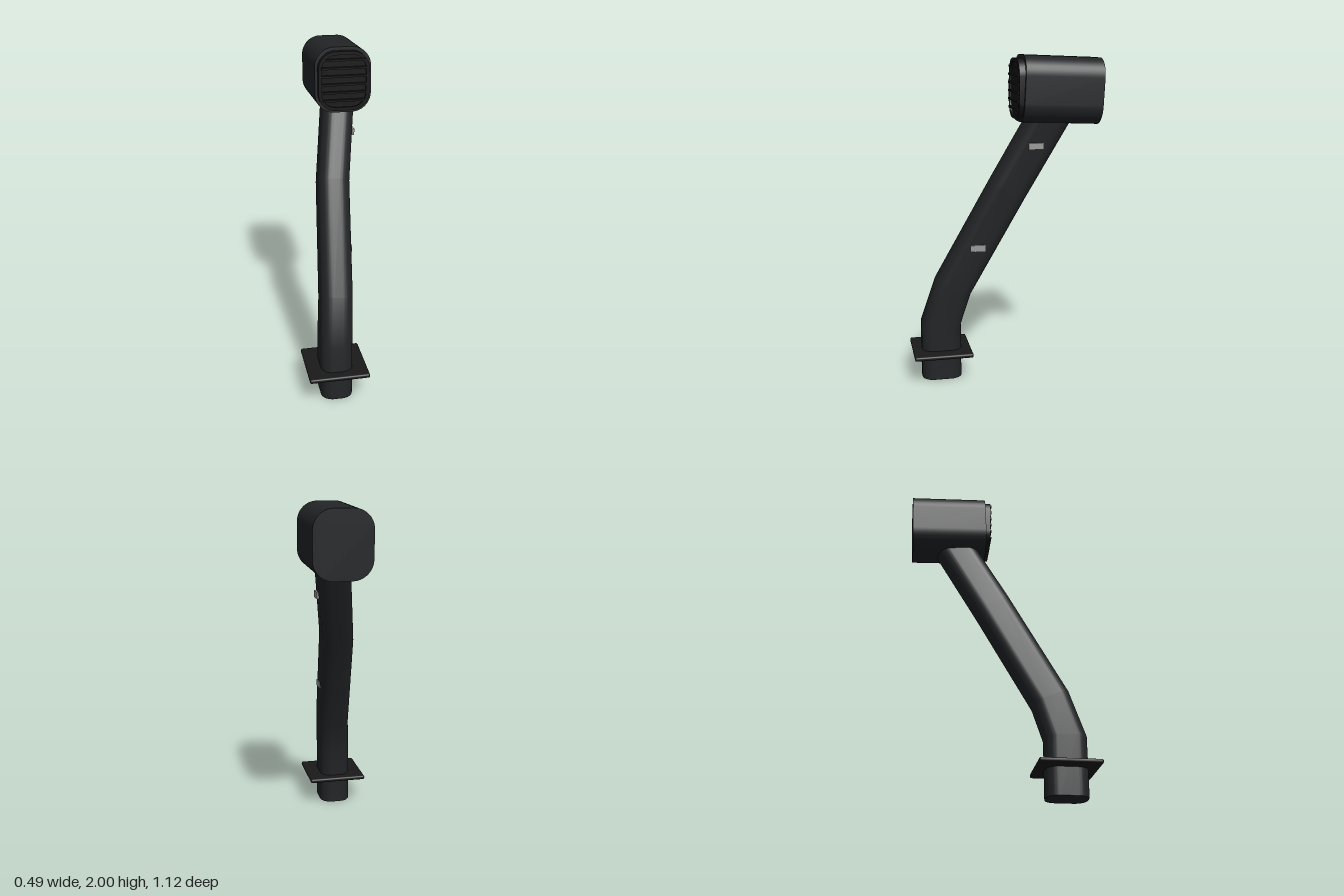
import * as THREE from 'three';
import { RoundedBoxGeometry } from 'three/addons/geometries/RoundedBoxGeometry.js';
import { toCreasedNormals } from 'three/addons/utils/BufferGeometryUtils.js';

const body = new THREE.MeshStandardMaterial({ color: 0x222426 });
const rubber = new THREE.MeshStandardMaterial({ color: 0x1a1a1a });
const dark = new THREE.MeshStandardMaterial({ color: 0x161616 });
const metal = new THREE.MeshStandardMaterial({ color: 0x999999 });

// Rounded rectangle centred on the origin
function roundedRect(w, h, r, Type = THREE.Shape) {
  const s = new Type(), x = w / 2 - r, y = h / 2 - r;
  s.absarc(x, y, r, 0, Math.PI / 2);
  s.absarc(-x, y, r, Math.PI / 2, Math.PI);
  s.absarc(-x, -y, r, Math.PI, Math.PI * 1.5);
  s.absarc(x, -y, r, Math.PI * 1.5, Math.PI * 2);
  s.closePath();
  return s;
}

// Extruded rounded rectangle, centred in depth
function slab(w, h, r, depth, hole) {
  const s = roundedRect(w, h, r);
  if (hole) s.holes.push(hole);
  const g = new THREE.ExtrudeGeometry(s, { depth, bevelEnabled: false, curveSegments: 10 });
  g.translate(0, 0, -depth / 2);
  return toCreasedNormals(g, 0.6);
}

// Skin a row of tilted rounded-rectangle rings, capped at both ends
function loft(rings) {
  const pos = [], index = [];
  let n = 0;
  for (const [x, y, z, pitch, roll, w, d] of rings) {
    const pts = roundedRect(w, d, 0.07).getPoints(8).slice(0, -1);
    n = pts.length;
    const rot = new THREE.Euler(pitch, 0, roll);
    for (const p of pts) {
      const v = new THREE.Vector3(p.x, 0, -p.y).applyEuler(rot);
      pos.push(v.x + x, v.y + y, v.z + z);
    }
  }
  for (let i = 0; i < rings.length - 1; i++) {
    for (let j = 0; j < n; j++) {
      const a = i * n + j, b = i * n + (j + 1) % n;
      index.push(a, b, b + n, a, b + n, a + n);
    }
  }
  const last = (rings.length - 1) * n;
  for (let j = 1; j < n - 1; j++) {
    index.push(0, j + 1, j, last, last + j, last + j + 1);
  }
  const g = new THREE.BufferGeometry();
  g.setAttribute('position', new THREE.Float32BufferAttribute(pos, 3));
  g.setIndex(index);
  return toCreasedNormals(g, 0.8);
}

export function createModel() {
  const model = new THREE.Group();
  const add = (name, geometry, material, x = 0, y = 0, z = 0) => {
    const m = new THREE.Mesh(geometry, material);
    m.name = name;
    m.position.set(x, y, z);
    model.add(m);
    return m;
  };

  // Bent intake pipe: x, y, z, pitch, roll, width, depth
  add('pipe', loft([
    [-0.065, 0, 0.382, 0, 0, 0.19, 0.246],
    [-0.065, 0.35, 0.382, -0.06, -0.02, 0.19, 0.246],
    [-0.046, 0.59, 0.305, -0.42, -0.07, 0.19, 0.235],
    [0, 1.2, -0.03, -0.49, -0.11, 0.188, 0.237],
    [0.08, 1.68, -0.288, -0.49, -0.17, 0.19, 0.237],
  ]), body);

  // Mounting flange around the foot
  add('flange', new RoundedBoxGeometry(0.362, 0.026, 0.362, 3, 0.011), rubber, -0.065, 0.176, 0.382);

  // Air intake head, leaning slightly back
  const head = add('head', slab(0.336, 0.386, 0.115, 0.466), body, 0.075, 1.798, -0.32);
  head.rotation.x = -0.042;

  // Grille: raised rim, recessed panel and slats
  const hole = roundedRect(0.265, 0.31, 0.085, THREE.Path);
  add('grilleRim', slab(0.305, 0.35, 0.105, 0.05, hole), dark, 0.075, 1.806, -0.08);
  add('grillePanel', slab(0.29, 0.335, 0.1, 0.03), dark, 0.075, 1.806, -0.083);
  for (let i = 0; i < 6; i++) {
    const edge = i === 0 || i === 5;
    add('grilleSlat', new THREE.BoxGeometry(edge ? 0.25 : 0.27, 0.012, 0.035), dark,
      0.075, 1.692 + i * 0.048, -0.065);
  }

  // Fixing brackets on the left side of the pipe
  for (const [x, y, z] of [[0.059, 0.85, 0.162], [0.139, 1.473, -0.174]]) {
    add('bracket', new THREE.BoxGeometry(0.032, 0.038, 0.09), metal, x, y, z);
  }
  return model;
}
